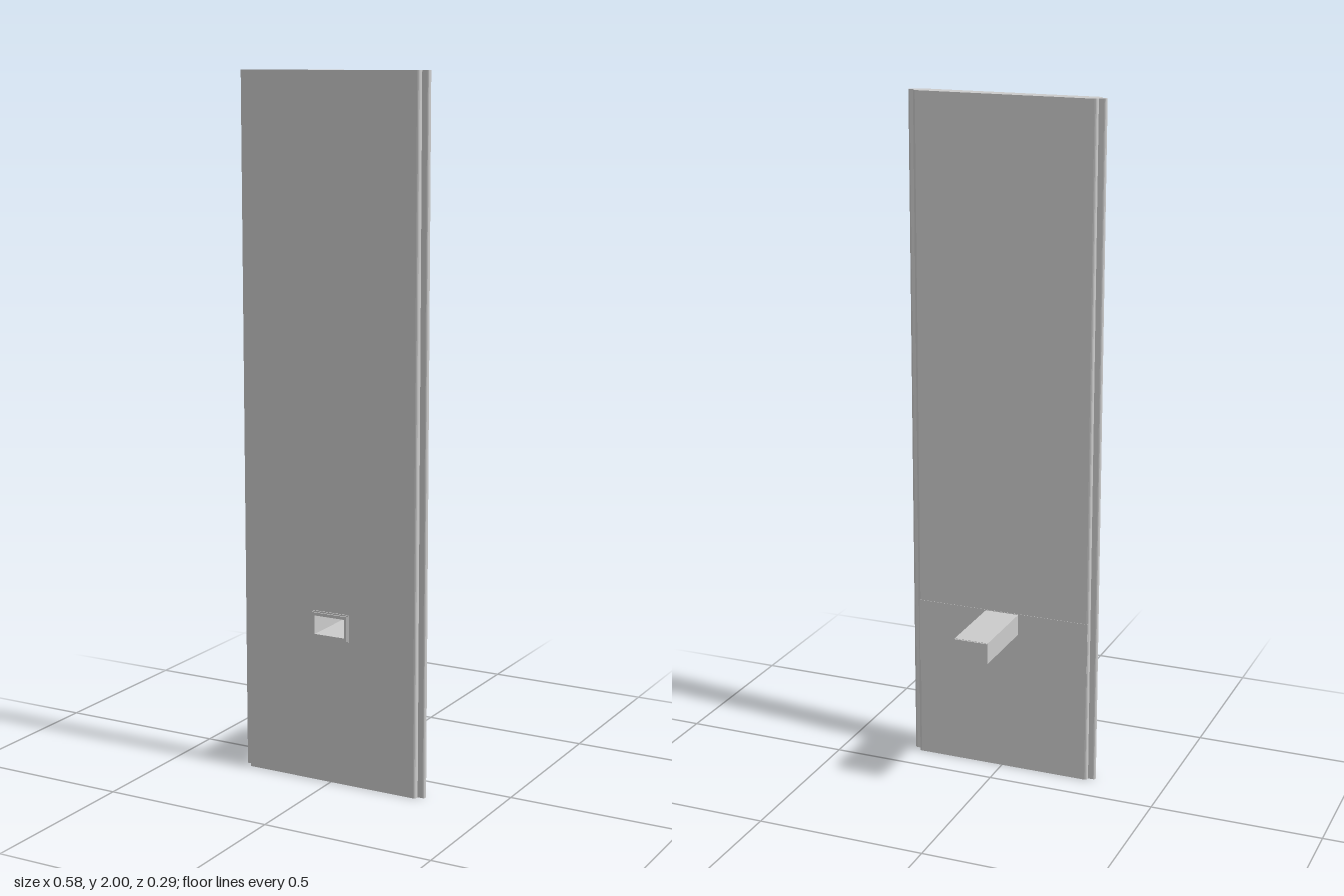
import * as THREE from 'three';

const material = new THREE.MeshStandardMaterial({ color: 0xcccccc });

const BACK = 0.092, FRONT = 0.138;      // panel faces in z
const HALF = 0.271, TIP = 0.292;        // panel body and tongue half widths
const SEAM = 0.2;                       // where the edge strips meet the core
const DUCT = { w: 0.051, y0: 0.43, y1: 0.492, back: -0.147, wall: 0.004 };

function rect(Kind, x0, y0, x1, y1) {
  const s = new Kind();
  s.moveTo(x0, y0);
  s.lineTo(x1, y0);
  s.lineTo(x1, y1);
  s.lineTo(x0, y1);
  s.closePath();
  return s;
}

// Rectangle facing the front with a rectangular opening, from z0 to z1
function framed(name, outer, inner, z0, z1) {
  const shape = rect(THREE.Shape, ...outer);
  shape.holes.push(rect(THREE.Path, ...inner));
  const g = new THREE.ExtrudeGeometry(shape, { depth: z1 - z0, bevelEnabled: false });
  g.translate(0, 0, z0);
  const mesh = new THREE.Mesh(g, material);
  mesh.name = name;
  return mesh;
}

function box(name, x0, y0, z0, x1, y1, z1) {
  const mesh = new THREE.Mesh(new THREE.BoxGeometry(x1 - x0, y1 - y0, z1 - z0), material);
  mesh.position.set((x0 + x1) / 2, (y0 + y1) / 2, (z0 + z1) / 2);
  mesh.name = name;
  return mesh;
}

// Full-height side strip with rounded corners and a tongue, section drawn as (x, -z)
function edgeStrip(name, side, tongueZ) {
  const r = 0.008, t = 0.0075, q = 0.006;
  const s = new THREE.Shape();
  const line = (x, z) => s.lineTo(side * x, -z);
  const curve = (cx, cz, x, z) => s.quadraticCurveTo(side * cx, -cz, side * x, -z);
  s.moveTo(side * SEAM, -FRONT);
  line(HALF - r, FRONT);
  curve(HALF, FRONT, HALF, FRONT - r);
  line(HALF, tongueZ + t);
  line(TIP - q, tongueZ + t);
  curve(TIP, tongueZ + t, TIP, tongueZ + t - q);
  line(TIP, tongueZ - t + q);
  curve(TIP, tongueZ - t, TIP - q, tongueZ - t);
  line(HALF, tongueZ - t);
  line(HALF, BACK + r);
  curve(HALF, BACK, HALF - r, BACK);
  line(SEAM, BACK);
  s.closePath();
  const g = new THREE.ExtrudeGeometry(s, { depth: 2, bevelEnabled: false, curveSegments: 4 });
  g.rotateX(-Math.PI / 2);
  const mesh = new THREE.Mesh(g, material);
  mesh.name = name;
  return mesh;
}

export function createModel() {
  const model = new THREE.Group();
  model.name = 'slottedPanel';
  const { w, y0, y1, back, wall } = DUCT;
  const grow = (d) => [-w - d, y0 - d, w + d, y1 + d];

  // Panel: core with the slot, and the two tongued edges
  model.add(framed('panelCore', [-SEAM, 0, SEAM, 2], grow(-wall), BACK, FRONT));
  model.add(edgeStrip('leftEdge', 1, 0.1165));
  model.add(edgeStrip('rightEdge', -1, 0.1115));

  // Thin reinforcing band across the back, under the top of the duct
  const band = framed('backBand', [-HALF + 0.005, 0.3, HALF - 0.005, y1 + 0.002],
    grow(-wall), BACK - 0.001, BACK);
  model.add(band);

  // Hollow duct, closed at the rear
  model.add(framed('duct', grow(0), grow(-wall), back + 0.004, BACK));
  model.add(box('ductEnd', -w + 0.001, y0 + 0.001, back, w - 0.001, y1 - 0.001, back + 0.008));

  // Stepped rim around the slot
  model.add(framed('rimBase', grow(0.009), grow(-wall), FRONT, 0.141));
  model.add(framed('rimLip', grow(0.005), grow(-wall), 0.141, 0.145));

  return model;
}
